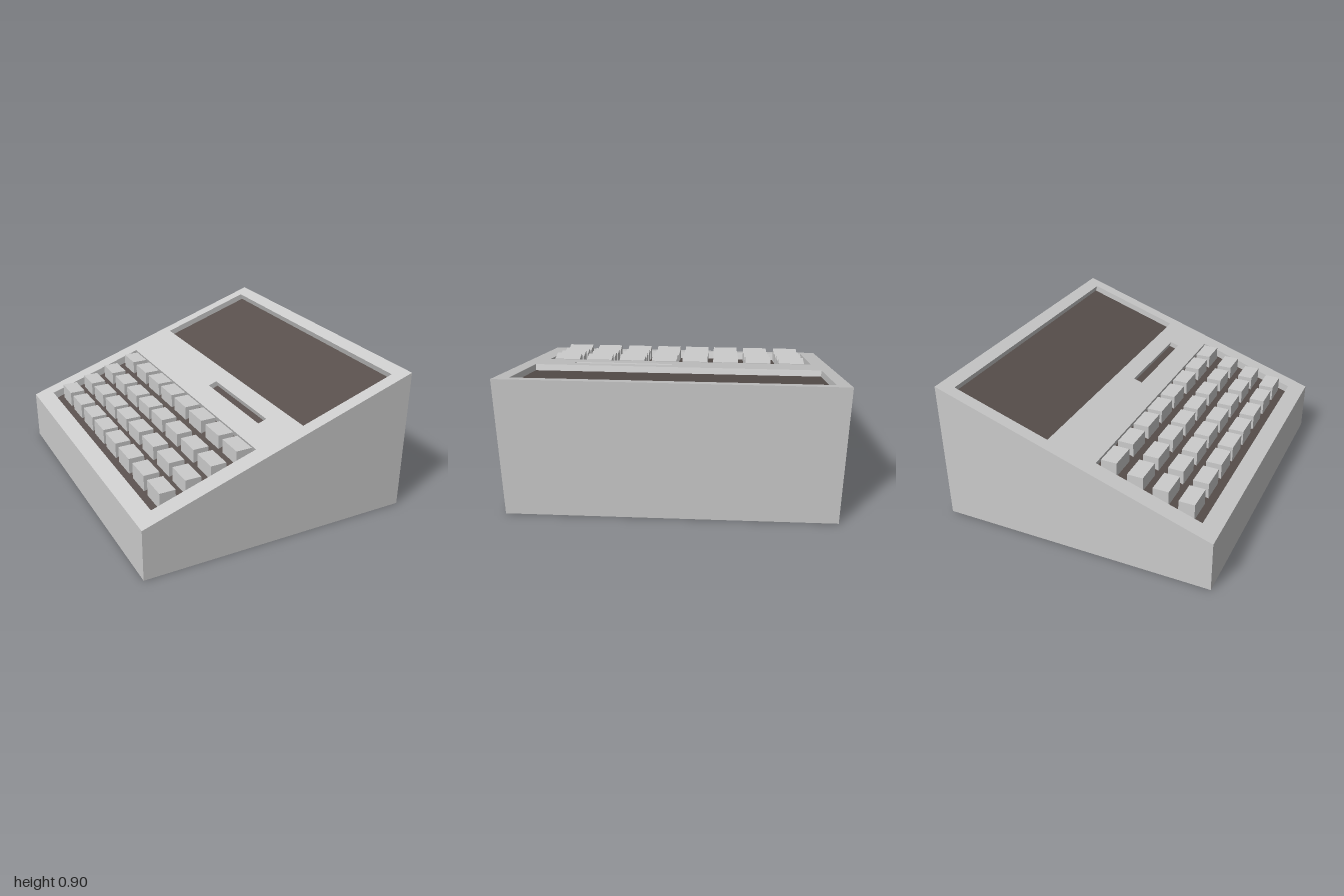
import * as THREE from 'three';

const grey = new THREE.MeshStandardMaterial({ color: 0xcccccc, flatShading: true });
const dark = new THREE.MeshStandardMaterial({ color: 0x59504d, flatShading: true });

// Sloping top surface of the case
const X = 0.88, LOW = 0.325, HIGH = 0.905;
const slope = (HIGH - LOW) / (2 * X);
const topY = x => LOW + (x + X) * slope;
const tilt = Math.atan(slope);

// Sunken areas: x range, z range, depth measured square to the slope
const recesses = [
  { name: 'keyboardWell', x0: -0.775, x1: -0.115, z0: -0.89, z1: 0.885, depth: 0.05 },
  { name: 'slot', x0: 0.02, x1: 0.075, z0: 0.04, z1: 0.68, depth: 0.035 },
  { name: 'screen', x0: 0.18, x1: 0.80, z0: -0.92, z1: 0.915, depth: 0.04 },
];

// Rectangle corners, counter-clockwise seen from above
const corners = (x0, x1, z0, z1, y) =>
  [[x0, z1], [x1, z1], [x1, z0], [x0, z0]].map(([x, z]) => new THREE.Vector3(x, y(x), z));

// Four walls joining two rings; swapping the rings turns them inwards
const walls = (lower, upper) => lower.map((p, i) => {
  const j = (i + 1) % 4;
  return [p, lower[j], upper[j], upper[i]];
});

function quadMesh(name, quads, material) {
  const points = quads.flatMap(([a, b, c, d]) => [a, b, c, a, c, d]);
  const geometry = new THREE.BufferGeometry().setFromPoints(points);
  geometry.computeVertexNormals();
  const mesh = new THREE.Mesh(geometry, material);
  mesh.name = name;
  return mesh;
}

function makeLid() {
  const path = (P, x0, x1, z0, z1) =>
    new P([[x0, -z1], [x1, -z1], [x1, -z0], [x0, -z0]].map(p => new THREE.Vector2(...p)));
  const shape = path(THREE.Shape, -X, X, -1, 1);
  for (const r of recesses) shape.holes.push(path(THREE.Path, r.x0, r.x1, r.z0, r.z1));
  const geometry = new THREE.ShapeGeometry(shape);
  const pos = geometry.attributes.position;
  for (let i = 0; i < pos.count; i++) {
    const x = pos.getX(i), z = -pos.getY(i);
    pos.setXYZ(i, x, topY(x), z);
  }
  geometry.computeVertexNormals();
  const lid = new THREE.Mesh(geometry, grey);
  lid.name = 'lid';
  return lid;
}

export function createModel() {
  const model = new THREE.Group();
  model.name = 'wedgeComputer';

  // Wedge case: sides, base and pierced lid
  const base = corners(-X, X, -1, 1, () => 0);
  const rim = corners(-X, X, -1, 1, topY);
  model.add(quadMesh('case', [...walls(base, rim), [...base].reverse()], grey), makeLid());

  // Recess walls and dark floors
  for (const r of recesses) {
    const edge = corners(r.x0, r.x1, r.z0, r.z1, topY);
    const sink = new THREE.Vector3(Math.sin(tilt), -Math.cos(tilt), 0).multiplyScalar(r.depth);
    const floor = edge.map(p => p.clone().add(sink));
    model.add(quadMesh(r.name + 'Walls', walls(edge, floor), grey));
    model.add(quadMesh(r.name + 'Floor', [floor], dark));
  }

  // Level keys stepping up the slope
  const keys = new THREE.Group();
  keys.name = 'keys';
  const keyGeometry = new THREE.BoxGeometry(0.1, 0.12, 0.17);
  const rows = [[-0.66, 0.43], [-0.50, 0.472], [-0.34, 0.521], [-0.175, 0.576]];
  const columns = [-0.76, -0.535, -0.315, -0.105, 0.105, 0.325, 0.55, 0.77];
  for (const [x, top] of rows) {
    for (const z of columns) {
      const key = new THREE.Mesh(keyGeometry, grey);
      key.name = 'key';
      key.position.set(x, top - 0.06, z);
      keys.add(key);
    }
  }
  model.add(keys);
  return model;
}
